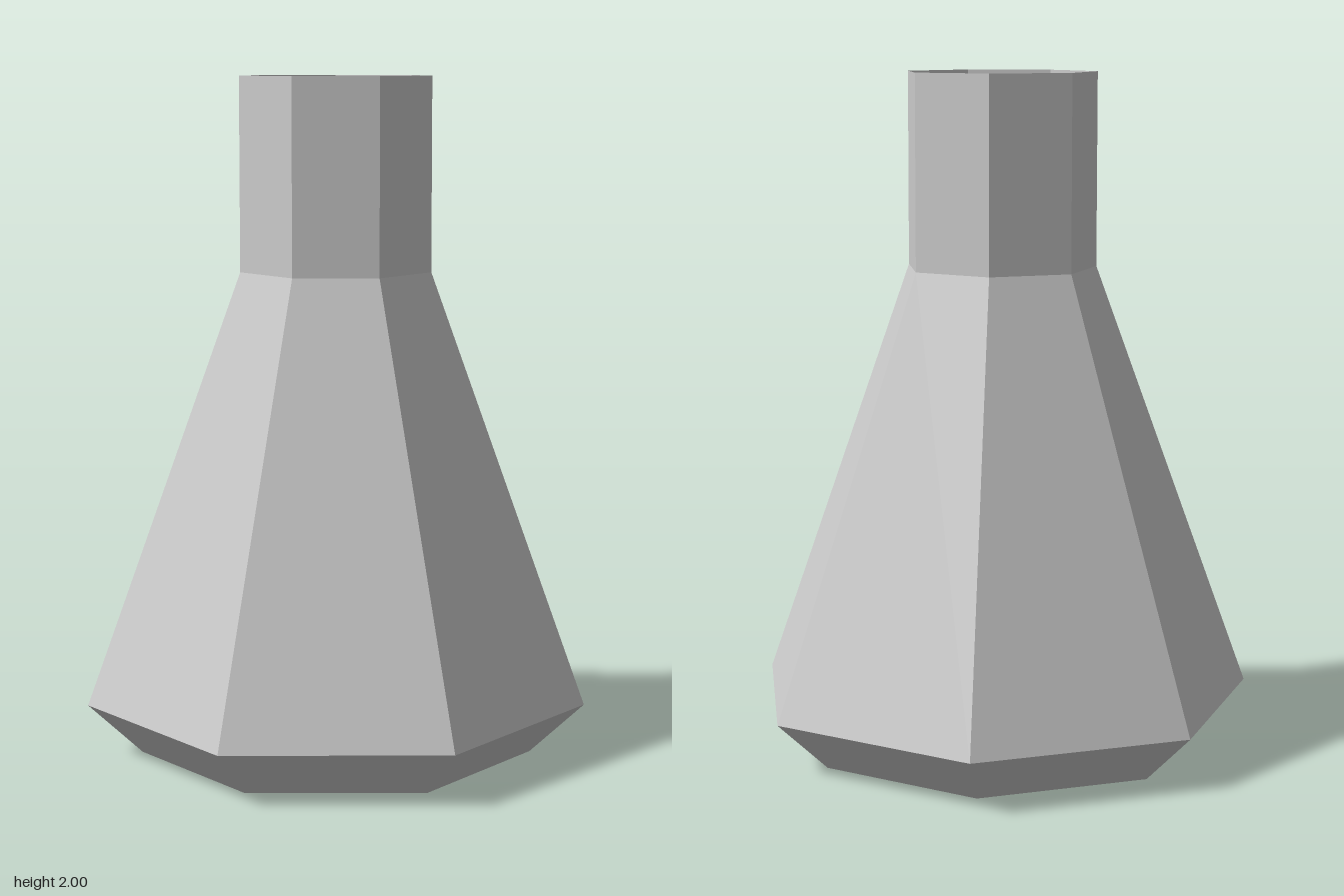
import * as THREE from 'three';

const SIDES = 7;

export function createModel() {
  const group = new THREE.Group();
  group.name = 'flask';
  const material = new THREE.MeshStandardMaterial({
    color: 0xcccccc, flatShading: true, side: THREE.DoubleSide,
  });

  const add = (name, geometry) => {
    const mesh = new THREE.Mesh(geometry, material);
    mesh.name = name;
    group.add(mesh);
    return mesh;
  };

  // Seven-sided thin wall ring with one corner on +x
  const wall = (name, ...profile) => add(name, new THREE.LatheGeometry(
    profile.map(([r, y]) => new THREE.Vector2(r, y)), SIDES, Math.PI / 2));

  // Flat floor of the vessel
  add('base', new THREE.CircleGeometry(0.593, SIDES).rotateX(Math.PI / 2));
  // Bevel rising out from the floor
  wall('bottomBevel', [0.593, 0], [0.754, 0.153]);
  // Tapering body
  wall('body', [0.754, 0.153], [0.287, 1.43]);
  // Straight neck, open at the top
  wall('neck', [0.287, 1.43], [0.287, 2]);

  // Odd-sided ring: shift so its width is centred on x = 0
  group.children.forEach((part) => { part.position.x = -0.037; });
  return group;
}
